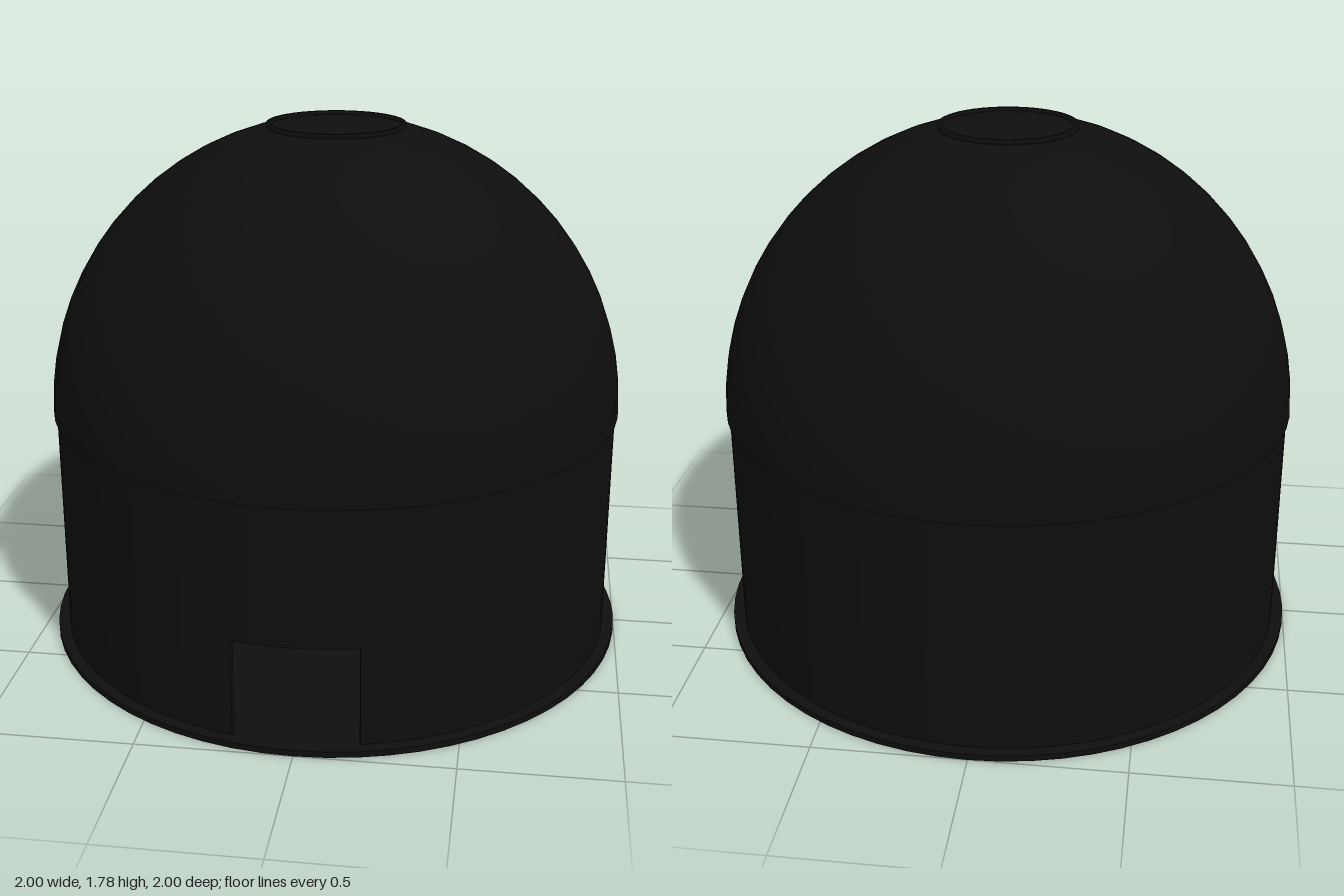
import * as THREE from 'three';

export function createModel() {
  const model = new THREE.Group();
  const black = new THREE.MeshStandardMaterial({ color: 0x0e0e0e, side: THREE.DoubleSide });
  black.name = 'black';

  const add = (name, geometry, x = 0, y = 0, z = 0, parent = model) => {
    const mesh = new THREE.Mesh(geometry, black);
    mesh.name = name;
    mesh.position.set(x, y, z);
    parent.add(mesh);
    return mesh;
  };

  // Curved wall section; angles run counter-clockwise seen from above, front at -PI/2
  const arcWall = (a0, a1, height, segments) => {
    const shape = new THREE.Shape();
    shape.absarc(0, 0, 0.96, a0, a1, false);
    shape.absarc(0, 0, 0.94, a1, a0, true);
    return new THREE.ExtrudeGeometry(shape, { depth: height, bevelEnabled: false, curveSegments: segments })
      .rotateX(-Math.PI / 2);
  };

  // Base plate
  add('basePlate', new THREE.CylinderGeometry(1, 1, 0.02, 64), 0, 0.01, 0);

  // Round wall with a doorway in the front
  const front = -Math.PI / 2, half = Math.asin(0.2 / 0.96);
  add('wall', arcWall(front + half, front + 2 * Math.PI - half, 0.79, 64), 0, 0.02, 0);
  add('doorLintel', arcWall(front - half, front + half, 0.46, 8), 0, 0.35, 0);

  // Dome with a thin lip at its rim
  add('dome', new THREE.SphereGeometry(0.97, 64, 16, 0, Math.PI * 2, 0, Math.PI / 2), 0, 0.81, 0);
  add('domeRim', new THREE.RingGeometry(0.94, 0.97, 64).rotateX(Math.PI / 2), 0, 0.81, 0);

  // Shallow collar round the crown
  const collar = [[0.215, 1.745], [0.23, 1.745], [0.23, 1.765], [0.215, 1.765], [0.215, 1.745]];
  add('crownCollar', new THREE.LatheGeometry(collar.map(([r, y]) => new THREE.Vector2(r, y)), 48));

  // Shelving racks visible through the doorway
  for (const [x, width] of [[-0.11, 0.15], [0.04, 0.05], [0.14, 0.08]]) {
    const rack = new THREE.Group();
    rack.name = 'rack';
    rack.position.set(x, 0.02, 0.3);
    model.add(rack);
    for (const side of [-1, 1]) {
      add('rackPost', new THREE.BoxGeometry(0.01, 0.27, 0.08), side * (width / 2 - 0.005), 0.135, 0, rack);
    }
    for (let i = 0; i < 4; i++) {
      add('rackShelf', new THREE.BoxGeometry(width, 0.01, 0.08), 0, 0.07 + i * 0.065, 0, rack);
      if (i < 3) add('rackBox', new THREE.BoxGeometry(width * 0.7, 0.04, 0.06), 0, 0.095 + i * 0.065, 0, rack);
    }
  }
  return model;
}
